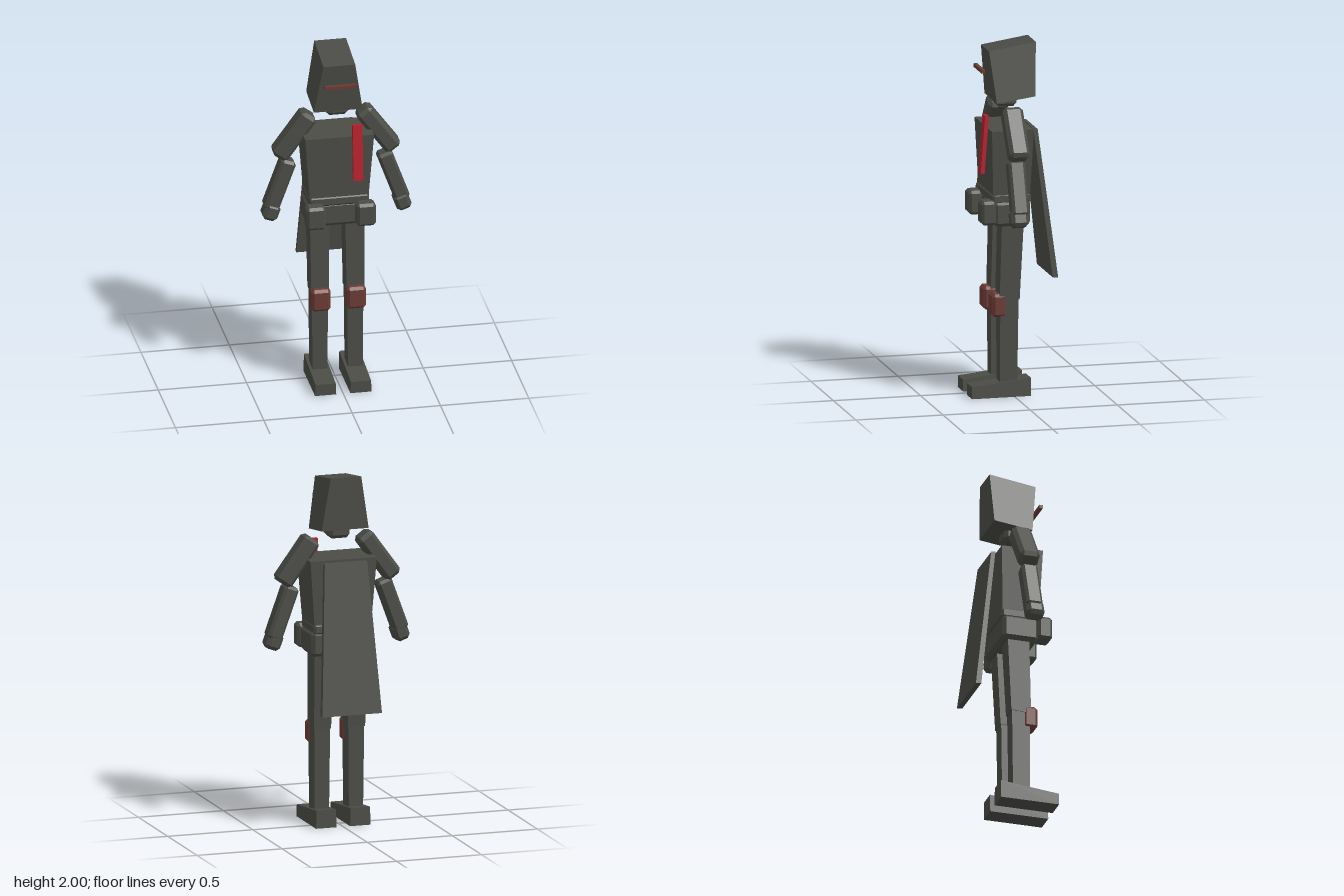
import * as THREE from 'three';
import { ConvexGeometry } from 'three/addons/geometries/ConvexGeometry.js';

const V = (x, y, z) => new THREE.Vector3(x, y, z);

// Box with cut edges and corners
function chamferBox(w, h, d, b) {
  const pts = [];
  for (const x of [-w / 2, w / 2]) for (const y of [-h / 2, h / 2]) for (const z of [-d / 2, d / 2]) {
    const ix = x - Math.sign(x) * b, iy = y - Math.sign(y) * b, iz = z - Math.sign(z) * b;
    pts.push(V(x, iy, iz), V(ix, y, iz), V(ix, iy, z));
  }
  return new ConvexGeometry(pts);
}

// Tapered block; each end is [x0, x1, zBack, zFront, yBack, yFront]
function taperedBlock(bottom, top) {
  const pts = [];
  for (const [x0, x1, zb, zf, yb, yf] of [bottom, top]) {
    pts.push(V(x0, yb, zb), V(x1, yb, zb), V(x0, yf, zf), V(x1, yf, zf));
  }
  return new ConvexGeometry(pts);
}

export function createModel() {
  const armour = new THREE.MeshStandardMaterial({ color: 0x4b4c46, flatShading: true });
  const rust = new THREE.MeshStandardMaterial({ color: 0x6c3b35, flatShading: true });
  const red = new THREE.MeshStandardMaterial({ color: 0xb8202c, flatShading: true });
  armour.name = 'darkGreyArmour';
  rust.name = 'rustBrown';
  red.name = 'brightRed';

  const model = new THREE.Group();
  model.name = 'armouredFigure';
  const add = (name, geometry, material, x = 0, y = 0, z = 0, tilt = 0) => {
    const mesh = new THREE.Mesh(geometry, material);
    mesh.name = name;
    mesh.position.set(x, y, z);
    mesh.rotation.z = tilt;
    model.add(mesh);
    return mesh;
  };

  // Head
  add('helmet', taperedBlock(
    [-0.138, 0.138, -0.125, 0.097, 1.7, 1.67],
    [-0.09, 0.09, -0.138, 0.13, 2.0, 1.96]), armour);
  add('visor', new THREE.BoxGeometry(0.18, 0.02, 0.02), rust, 0, 1.845, 0.162);
  add('neck', chamferBox(0.125, 0.1, 0.12, 0.02), armour, 0, 1.68, 0.02);

  // Torso and waist
  add('torso', taperedBlock(
    [-0.165, 0.165, -0.085, 0.125, 1.13, 1.13],
    [-0.195, 0.195, -0.1, 0.14, 1.525, 1.525]), armour);
  add('waist', chamferBox(0.34, 0.06, 0.225, 0.012), armour, 0, 1.132, 0.02);
  add('belt', chamferBox(0.36, 0.145, 0.21, 0.02), armour, 0, 1.047, 0.018);
  add('chestStripe', new THREE.BoxGeometry(0.055, 0.33, 0.022), red, 0.097, 1.435, 0.163)
    .rotation.x = -0.075;

  // Cape hanging away from the back
  add('cape', taperedBlock(
    [-0.175, 0.175, -0.245, -0.213, 0.668, 0.672],
    [-0.125, 0.125, -0.14, -0.115, 1.51, 1.515]), armour);

  for (const [side, s] of [['left', 1], ['right', -1]]) {
    // Arm
    add(side + 'UpperArm', chamferBox(0.1, 0.305, 0.115, 0.02), armour, s * 0.238, 1.512, 0.018, s * 0.63);
    add(side + 'Forearm', chamferBox(0.088, 0.31, 0.095, 0.015), armour, s * 0.322, 1.222, 0.027, s * 0.35);
    add(side + 'Hand', chamferBox(0.088, 0.1, 0.102, 0.02), armour, s * 0.371, 1.064, 0.032, s * 0.35);

    // Belt pouch
    add(side + 'Pouch', chamferBox(0.108, 0.135, 0.085, 0.015), armour, s * 0.142, 1.058, 0.155);

    // Leg
    const cx = s * 0.1;
    add(side + 'Thigh', taperedBlock(
      [cx - 0.05, cx + 0.05, -0.03, 0.085, 0.55, 0.54],
      [cx - 0.055, cx + 0.055, -0.053, 0.072, 1.0, 1.0]), armour);
    add(side + 'Shin', taperedBlock(
      [cx - 0.042, cx + 0.042, -0.018, 0.08, 0.07, 0.07],
      [cx - 0.046, cx + 0.046, -0.025, 0.08, 0.56, 0.56]), armour);
    add(side + 'KneePad', chamferBox(0.108, 0.13, 0.082, 0.015), rust, cx, 0.52, 0.084);

    // Wedge boot, lower at the toe
    add(side + 'Boot', taperedBlock(
      [cx - 0.06, cx + 0.06, -0.093, 0.245, 0, 0],
      [cx - 0.057, cx + 0.057, -0.093, 0.245, 0.103, 0.067]), armour);
  }
  return model;
}
